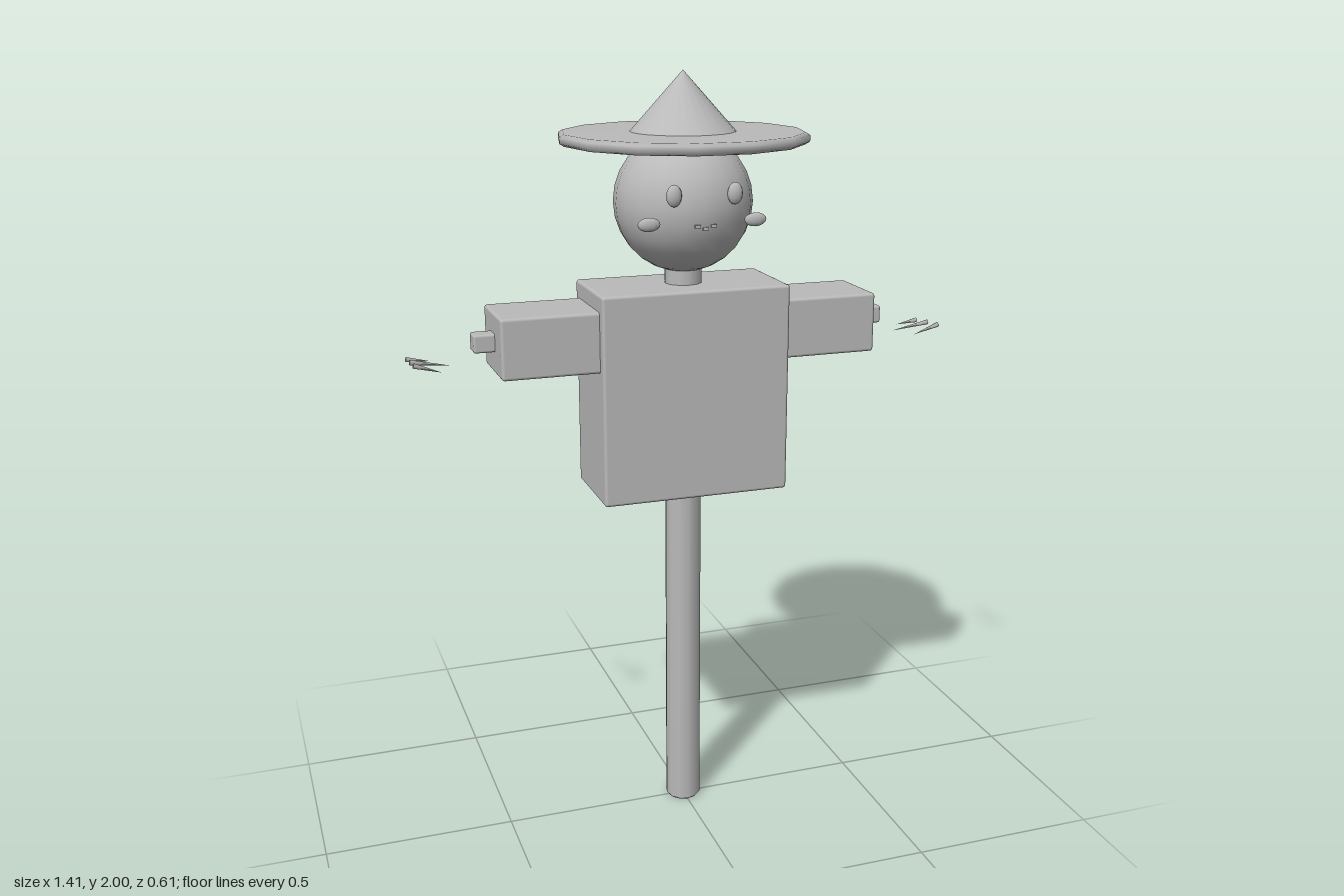
import * as THREE from 'three';
import { RoundedBoxGeometry } from 'three/addons/geometries/RoundedBoxGeometry.js';

export function createModel() {
  const root = new THREE.Group();
  root.name = 'scarecrow';
  const grey = new THREE.MeshStandardMaterial({ color: 0xbababa, side: THREE.DoubleSide });
  grey.name = 'plain grey';

  const add = (name, geometry, x, y, z) => {
    const mesh = new THREE.Mesh(geometry, grey);
    mesh.name = name;
    mesh.position.set(x, y, z);
    root.add(mesh);
    return mesh;
  };
  const box = (w, h, d, r = 0.008) => new RoundedBoxGeometry(w, h, d, 2, r);

  // Wooden frame, with a small chamfer at the ends of the post
  const post = [[0, 0], [0.042, 0], [0.048, 0.008], [0.048, 1.522], [0.042, 1.53], [0, 1.53]];
  add('post', new THREE.LatheGeometry(post.map(([r, y]) => new THREE.Vector2(r, y)), 12), 0, 0, 0);
  add('crossbar', box(1.1, 0.046, 0.05, 0.006), 0, 1.357, 0);

  // Shirt
  add('shirtBody', box(0.495, 0.543, 0.25), -0.002, 1.203, 0);

  // Head
  add('head', new THREE.SphereGeometry(0.176, 20, 14), 0, 1.68, 0);

  // Hat: a fourteen-sided brim with a softened rim, and a pointed crown
  const rim = [[0, 1.824], [0.304, 1.824], [0.315, 1.831], [0.315, 1.846], [0.304, 1.853], [0, 1.853]];
  const brim = new THREE.LatheGeometry(rim.map(([r, y]) => new THREE.Vector2(r, y)), 14);
  add('hatBrim', brim.rotateY(Math.PI / 2), 0, 0, 0);
  add('hatCrown', new THREE.ConeGeometry(0.137, 0.152, 24), 0, 1.924, 0);

  for (const side of [-1, 1]) {
    const label = side > 0 ? 'left' : 'right';
    add(label + 'Sleeve', box(0.28, 0.155, 0.196), side * 0.357, 1.354, 0);

    // Face details
    const eye = add(label + 'Eye', new THREE.SphereGeometry(1, 10, 8), side * 0.078, 1.717, 0.164);
    eye.scale.set(0.02, 0.027, 0.012);
    const cheek = add(label + 'Cheek', new THREE.SphereGeometry(1, 10, 8), side * 0.137, 1.649, 0.15);
    cheek.scale.set(0.029, 0.017, 0.009);

    // Straw ends: thin spikes flaring outward
    [-0.065, 0, 0.06].forEach((z, i) => {
      const from = new THREE.Vector3(side * [0.645, 0.6, 0.635][i], 1.303, z);
      const to = new THREE.Vector3(side * 0.705, [1.312, 1.32, 1.326][i], z);
      const dir = from.clone().sub(to);
      const mid = from.clone().add(to).multiplyScalar(0.5);
      const straw = add(label + 'Straw' + (i + 1),
        new THREE.ConeGeometry(0.007, dir.length(), 5), mid.x, mid.y, mid.z);
      straw.quaternion.setFromUnitVectors(new THREE.Vector3(0, 1, 0), dir.normalize());
    });
  }

  // Stitched mouth
  [[-0.02, 1.642], [0, 1.636], [0.021, 1.642]].forEach(([x, y], i) => {
    add('mouthStitch' + (i + 1), new THREE.BoxGeometry(0.014, 0.007, 0.009), x, y, 0.17);
  });

  return root;
}
